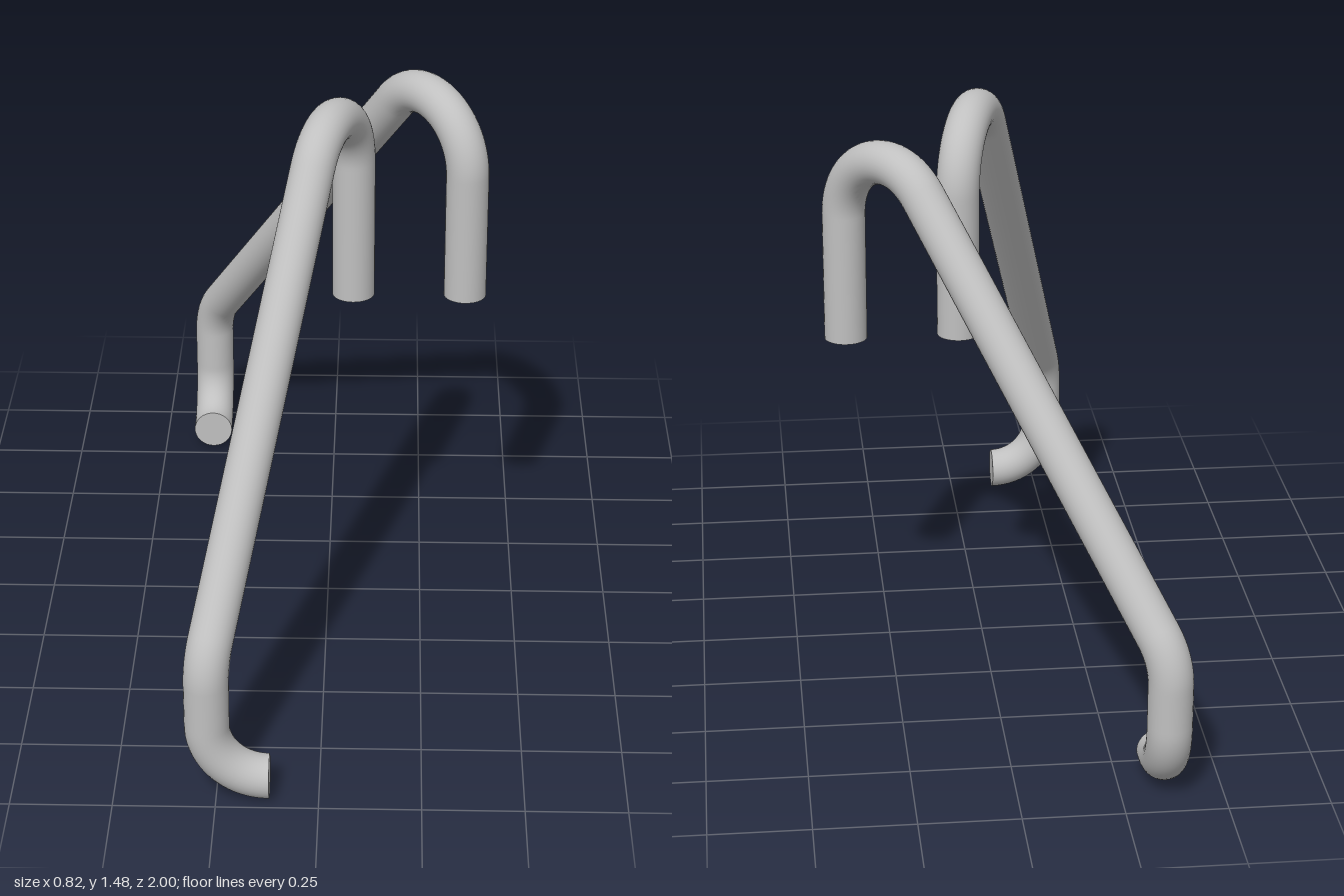
import * as THREE from 'three';

const V = (x, y, z) => new THREE.Vector3(x, y, z);
const RADIUS = 0.055;

// Straight runs joined by rounded corners; bends[i] is the bend radius at corner i + 1
function bentPath(corners, bends) {
  const path = new THREE.CurvePath();
  let from = corners[0];
  for (let i = 1; i < corners.length - 1; i++) {
    const c = corners[i], r = bends[i - 1];
    const dirIn = c.clone().sub(corners[i - 1]).normalize();
    const dirOut = corners[i + 1].clone().sub(c).normalize();
    const turn = dirIn.angleTo(dirOut);
    const cut = r * Math.tan(turn / 2), handle = (4 / 3) * Math.tan(turn / 4) * r;
    const a = c.clone().addScaledVector(dirIn, -cut);
    const b = c.clone().addScaledVector(dirOut, cut);
    path.add(new THREE.LineCurve3(from, a));
    path.add(new THREE.CubicBezierCurve3(a, a.clone().addScaledVector(dirIn, handle),
      b.clone().addScaledVector(dirOut, -handle), b));
    from = b;
  }
  path.add(new THREE.LineCurve3(from, corners[corners.length - 1]));
  return path;
}

export function createModel() {
  const model = new THREE.Group();
  model.name = 'bentHandles';
  const steel = new THREE.MeshStandardMaterial({ color: 0xc0c0c0 });
  steel.name = 'light grey steel';

  function addRod(name, corners, bends) {
    const rod = new THREE.Group();
    rod.name = name;
    const tube = new THREE.Mesh(
      new THREE.TubeGeometry(bentPath(corners, bends), 180, RADIUS, 32), steel);
    tube.name = name + 'Tube';
    rod.add(tube);
    // flat end faces, turned outward
    const n = corners.length;
    [[corners[0], corners[1]], [corners[n - 1], corners[n - 2]]].forEach(([end, next], i) => {
      const cap = new THREE.Mesh(new THREE.CircleGeometry(RADIUS, 32), steel);
      cap.name = name + (i ? 'FootEnd' : 'TopEnd');
      cap.position.copy(end);
      cap.lookAt(end.clone().multiplyScalar(2).sub(next));
      rod.add(cap);
    });
    model.add(rod);
  }

  // front rod: foot turns toward +x
  addRod('frontRod', [
    V(0.065, 0.88, -0.045), V(0.065, 1.758, -0.045), V(-0.27, 0.38, 0.945),
    V(-0.27, 0.057, 0.945), V(-0.12, 0.057, 0.945),
  ], [0.17, 0.17, 0.148]);

  // rear rod: foot turns toward +z
  addRod('rearRod', [
    V(0.355, 0.88, -0.045), V(0.355, 1.658, -0.045), V(-0.36, 0.38, -0.945),
    V(-0.36, 0.057, -0.945), V(-0.36, 0.057, -0.793),
  ], [0.17, 0.17, 0.148]);

  return model;
}
